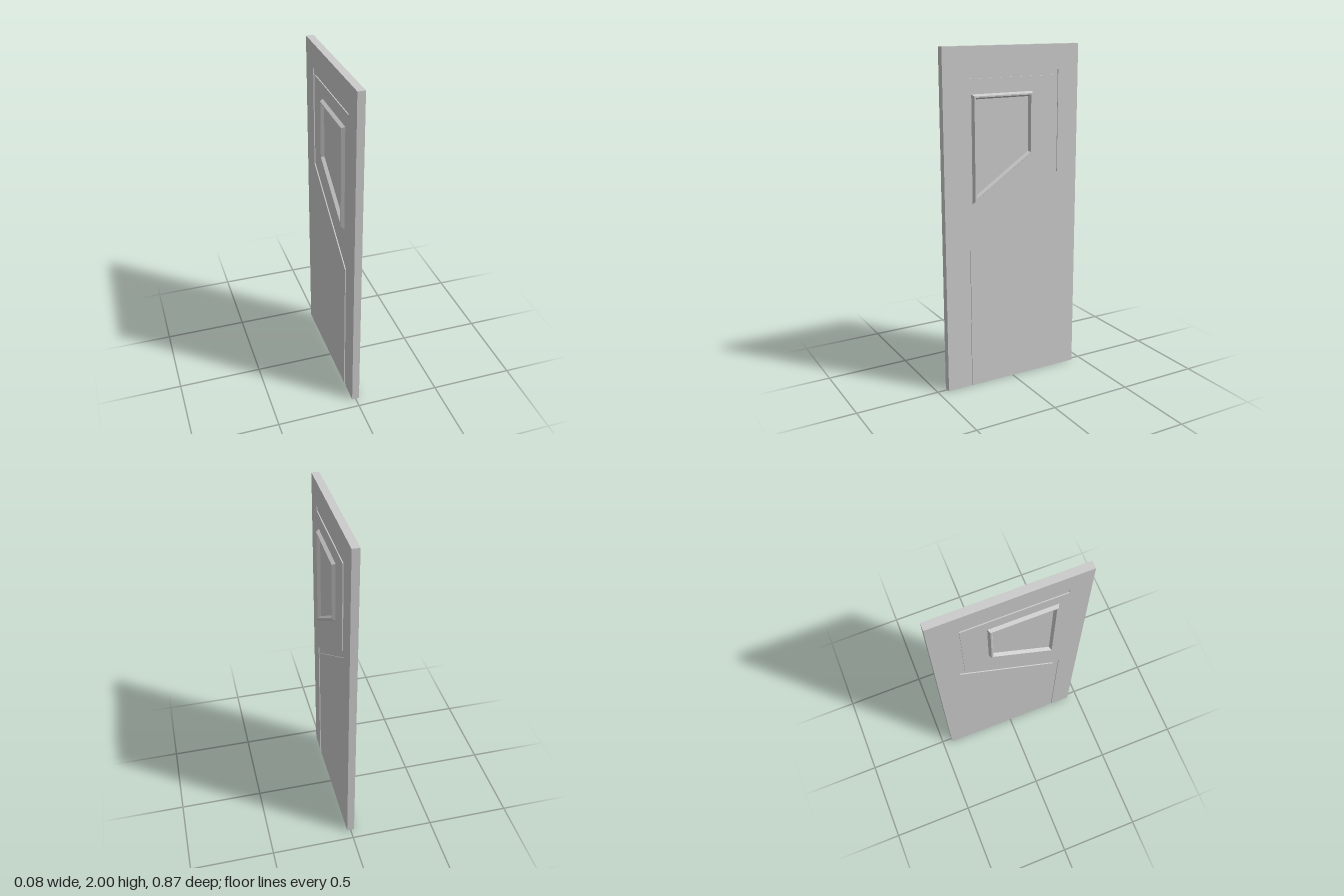
import * as THREE from 'three';

const HALF_Z = 0.437, HEIGHT = 2, HALF_X = 0.022, GROOVE = 0.006;

const material = new THREE.MeshStandardMaterial({ color: 0xcccccc, flatShading: true });

function addMesh(parent, geometry, name) {
  const mesh = new THREE.Mesh(geometry, material);
  mesh.name = name;
  parent.add(mesh);
  return mesh;
}

// Moves every edge of a counter-clockwise polygon inward by d
function inset(points, d) {
  const n = points.length;
  return points.map((p, i) => {
    const a = points[(i + n - 1) % n], b = points[(i + 1) % n];
    const u = p.clone().sub(a).normalize(), v = b.clone().sub(p).normalize();
    const nu = new THREE.Vector2(-u.y, u.x), nv = new THREE.Vector2(-v.y, v.x);
    return nu.add(nv).multiplyScalar(d / (1 + u.dot(v))).add(p);
  });
}

// Sweeps an [inset, x] profile round the outline (z, y) on one side of the door
function frameGeometry(outline, profile, side) {
  const rings = profile.map(([d, x]) =>
    inset(outline, d).map((p) => new THREE.Vector3(side * x, p.y, p.x)));
  const pos = [];
  for (let k = 0; k < rings.length - 1; k++) {
    for (let i = 0; i < outline.length; i++) {
      const j = (i + 1) % outline.length;
      const quad = [rings[k][i], rings[k][j], rings[k + 1][j], rings[k + 1][i]];
      if (side > 0) quad.reverse();
      for (const c of [0, 1, 2, 0, 2, 3]) pos.push(...quad[c].toArray());
    }
  }
  const g = new THREE.BufferGeometry();
  g.setAttribute('position', new THREE.Float32BufferAttribute(pos, 3));
  g.computeVertexNormals();
  return g;
}

export function createModel() {
  const door = new THREE.Group();
  door.name = 'door';

  // Solid core, whose faces form the floor of the grooves
  const core = new THREE.BoxGeometry(2 * (HALF_X - GROOVE), HEIGHT, 2 * HALF_Z);
  addMesh(door, core, 'doorCore').position.y = HEIGHT / 2;

  // Face plate (z, y) cut by one long angular groove that starts at the bottom edge
  const grooveUp = [[0.315, 0], [0.315, 0.88], [-0.27, 1.28], [-0.27, 1.825], [0.315, 1.825]];
  const grooveBack = [[0.315, 1.857], [-0.302, 1.857], [-0.302, 1.255], [0.28, 0.86], [0.28, 0]];
  const plate = new THREE.Shape([
    [-HALF_Z, 0], [-HALF_Z, HEIGHT], [HALF_Z, HEIGHT], [HALF_Z, 0],
    ...grooveUp, ...grooveBack,
  ].map(([z, y]) => new THREE.Vector2(z, y)));

  // Raised window moulding: outer chamfer, flat crest, inner slope
  const windowOutline = [[0.264, 1.12], [0.264, 1.74], [-0.127, 1.74], [-0.127, 1.382]]
    .map(([z, y]) => new THREE.Vector2(z, y));
  const moulding = [[0, HALF_X], [0.01, 0.041], [0.018, 0.041], [0.028, HALF_X]];

  for (const side of [1, -1]) {
    const name = side > 0 ? 'left' : 'right';
    const g = new THREE.ExtrudeGeometry(plate, { depth: GROOVE, bevelEnabled: false });
    g.rotateY(-Math.PI / 2);
    g.translate(side > 0 ? HALF_X : GROOVE - HALF_X, 0, 0);
    addMesh(door, g, name + 'FacePlate');
    addMesh(door, frameGeometry(windowOutline, moulding, side), name + 'WindowFrame');
  }
  return door;
}
